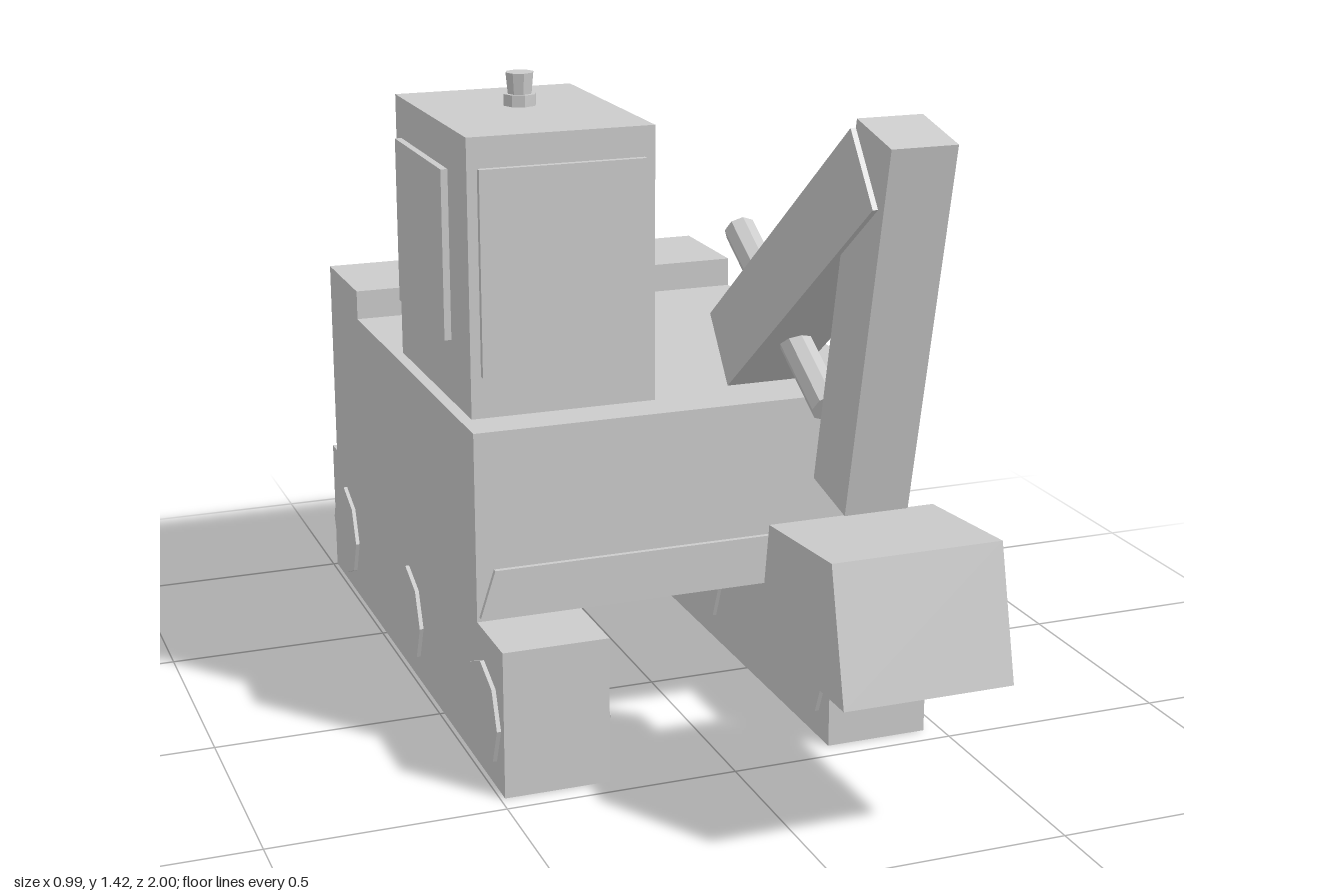
import * as THREE from 'three';

const material = new THREE.MeshStandardMaterial({ color: 0xcccccc, flatShading: true });

export function createModel() {
  const model = new THREE.Group();
  model.name = 'excavator';

  const add = (name, geometry, x = 0, y = 0, z = 0, tilt = 0) => {
    const mesh = new THREE.Mesh(geometry, material);
    mesh.name = name;
    mesh.position.set(x, y, z);
    mesh.rotation.x = tilt;
    model.add(mesh);
    return mesh;
  };

  // Box given by its limits on each axis
  const block = (name, [x0, x1], [y0, y1], [z0, z1]) =>
    add(name, new THREE.BoxGeometry(x1 - x0, y1 - y0, z1 - z0),
      (x0 + x1) / 2, (y0 + y1) / 2, (z0 + z1) / 2);

  const shapeOf = (points) => new THREE.Shape(points.map(([x, y]) => new THREE.Vector2(x, y)));

  // Tracks with octagonal wheels showing on both sides
  for (const [side, x0, x1] of [['right', -0.49, -0.262], ['left', 0.235, 0.462]]) {
    block(`${side}Track`, [x0, x1], [0, 0.32], [-1, 0.453]);
    for (const z of [0.32, -0.27, -0.86]) {
      const wheel = new THREE.CylinderGeometry(0.113, 0.113, x1 - x0 + 0.018, 8).rotateZ(Math.PI / 2);
      add(`${side}Wheel`, wheel, (x0 + x1) / 2, 0.14, z);
    }
  }

  // Hull and raised rear deck
  block('body', [-0.49, 0.462], [0.32, 0.73], [-0.957, 0.276]);
  block('rearDeck', [-0.49, 0.462], [0.73, 0.798], [-0.957, -0.687]);

  // Cab with raised window panels
  block('cab', [-0.465, -0.06], [0.73, 1.32], [-0.365, 0.181]);
  block('frontWindow', [-0.443, -0.083], [0.82, 1.255], [0.17, 0.195]);
  block('sideWindow', [-0.48, -0.455], [0.865, 1.23], [-0.322, 0.042]);

  // Roof beacon
  add('beaconBase', new THREE.CylinderGeometry(0.036, 0.036, 0.025, 8), -0.265, 1.342, -0.09);
  add('beacon', new THREE.CylinderGeometry(0.031, 0.024, 0.07, 8), -0.265, 1.365, -0.09);

  // Slanted strip across the front of the hull
  const strip = shapeOf([[-0.485, 0.33], [0.463, 0.33], [0.495, 0.432], [-0.452, 0.432]]);
  add('frontStrip', new THREE.ExtrudeGeometry(strip, { depth: 0.013, bevelEnabled: false }), 0, 0, 0.274);

  // Digging arm
  const armX = 0.19;
  add('boom', new THREE.BoxGeometry(0.158, 0.17, 0.868), armX, 1.071, 0.462, -0.652);
  add('stick', new THREE.BoxGeometry(0.136, 0.771, 0.152), armX, 1.027, 0.753, 0.21);
  const ram = new THREE.CylinderGeometry(0.035, 0.035, 0.546, 8).rotateX(Math.PI / 2);
  add('hydraulicRam', ram, armX, 0.915, 0.275, 0.517);

  // Bucket: side profile drawn as (-z, y), turned to run along x
  const profile = shapeOf([[-1, 0.342], [-0.596, 0.342], [-0.637, 0.593], [-0.932, 0.615]]);
  const bucket = new THREE.ExtrudeGeometry(profile, { depth: 0.36, bevelEnabled: false });
  add('bucket', bucket.rotateY(Math.PI / 2), 0.01, 0, 0);

  return model;
}
